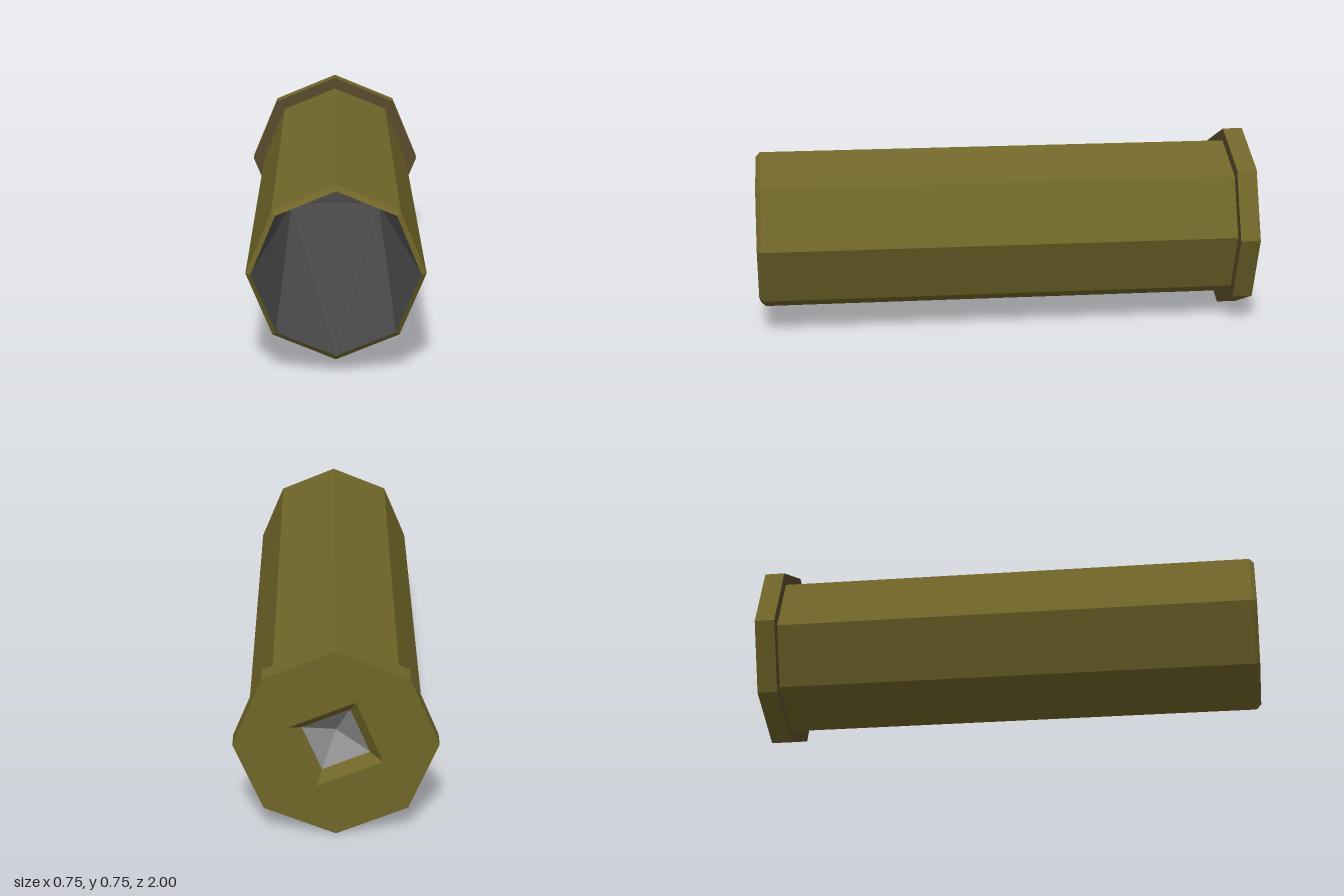
import * as THREE from 'three';

const CY = 0.377; // height of the long axis

// Ring of n corners around the axis, anticlockwise seen from the front
const ring = (n, r, z, turn = 0) => Array.from({ length: n }, (_, i) => {
  const a = turn + (i * 2 * Math.PI) / n;
  return new THREE.Vector3(r * Math.cos(a), r * Math.sin(a), z);
});

// Square ring written as eight points: edge middles and corners
const squareRing = (h, z) => ring(8, 1, z).map((p, i) => {
  const r = i % 2 ? h * Math.SQRT2 : h;
  return new THREE.Vector3(p.x * r, p.y * r, z);
});

// Faceted skin through a list of rings
function loft(rings) {
  const pts = [];
  const tri = (a, b, c) => {
    const area = b.clone().sub(a).cross(c.clone().sub(a)).length();
    if (area > 1e-8) pts.push(a, b, c);
  };
  for (let k = 0; k < rings.length - 1; k++) {
    const A = rings[k], B = rings[k + 1], n = A.length;
    for (let i = 0; i < n; i++) {
      const j = (i + 1) % n;
      if (i % 2 === 0) { // diagonals alternate so that they meet in the corners
        tri(A[i], A[j], B[j]);
        tri(A[i], B[j], B[i]);
      } else {
        tri(A[i], A[j], B[i]);
        tri(A[j], B[j], B[i]);
      }
    }
  }
  const g = new THREE.BufferGeometry().setFromPoints(pts);
  g.computeVertexNormals();
  return g;
}

export function createModel() {
  const mat = (name, color) => {
    const m = new THREE.MeshStandardMaterial({ color, flatShading: true });
    m.name = name;
    return m;
  };
  const olive = mat('olive brass', 0x706628);
  const brown = mat('dark brass', 0x584b2b);
  const dark = mat('dark grey', 0x494949);
  const steel = mat('light grey', 0x8e8e8e);

  const group = new THREE.Group();
  group.name = 'casing';
  const add = (name, geometry, material) => {
    const mesh = new THREE.Mesh(geometry, material);
    mesh.name = name;
    mesh.position.y = CY;
    group.add(mesh);
  };

  // Long eight-sided tube with a chamfered mouth
  add('tube', loft([ring(8, 0.327, -0.92), ring(8, 0.327, 0.982), ring(8, 0.308, 1)]), olive);

  // Hollow inside, narrowing from the mouth to a square floor
  add('bore', loft([ring(8, 0.308, 1), squareRing(0.202, -0.86)]), dark);
  add('boreFloor', loft([squareRing(0.202, -0.86), ring(8, 0, -0.85)]), dark);

  // Rim flange at the back
  add('rimSide', loft([ring(8, 0.377, -1), ring(8, 0.377, -0.92)]), olive);
  add('rimFront', loft([ring(8, 0.377, -0.92), ring(8, 0.32, -0.92)]), brown);

  // Back plate with a turned square opening
  const flat = (pts) => pts.map((p) => new THREE.Vector2(p.x, p.y));
  const plate = new THREE.Shape(flat(ring(8, 0.377, 0)));
  plate.holes.push(new THREE.Path(flat(ring(4, 0.187, 0, Math.PI * 3 / 8))));
  add('backPlate', new THREE.ShapeGeometry(plate).rotateY(Math.PI).translate(0, 0, -1), olive);

  // Sloped pocket and dented cap inside the opening
  const turn = Math.PI / 8;
  add('pocket', loft([ring(4, 0.135, -0.96, turn), ring(4, 0.187, -1, turn)]), olive);
  add('primer', loft([ring(4, 0, -0.88, turn), ring(4, 0.135, -0.96, turn)]), steel);

  return group;
}
